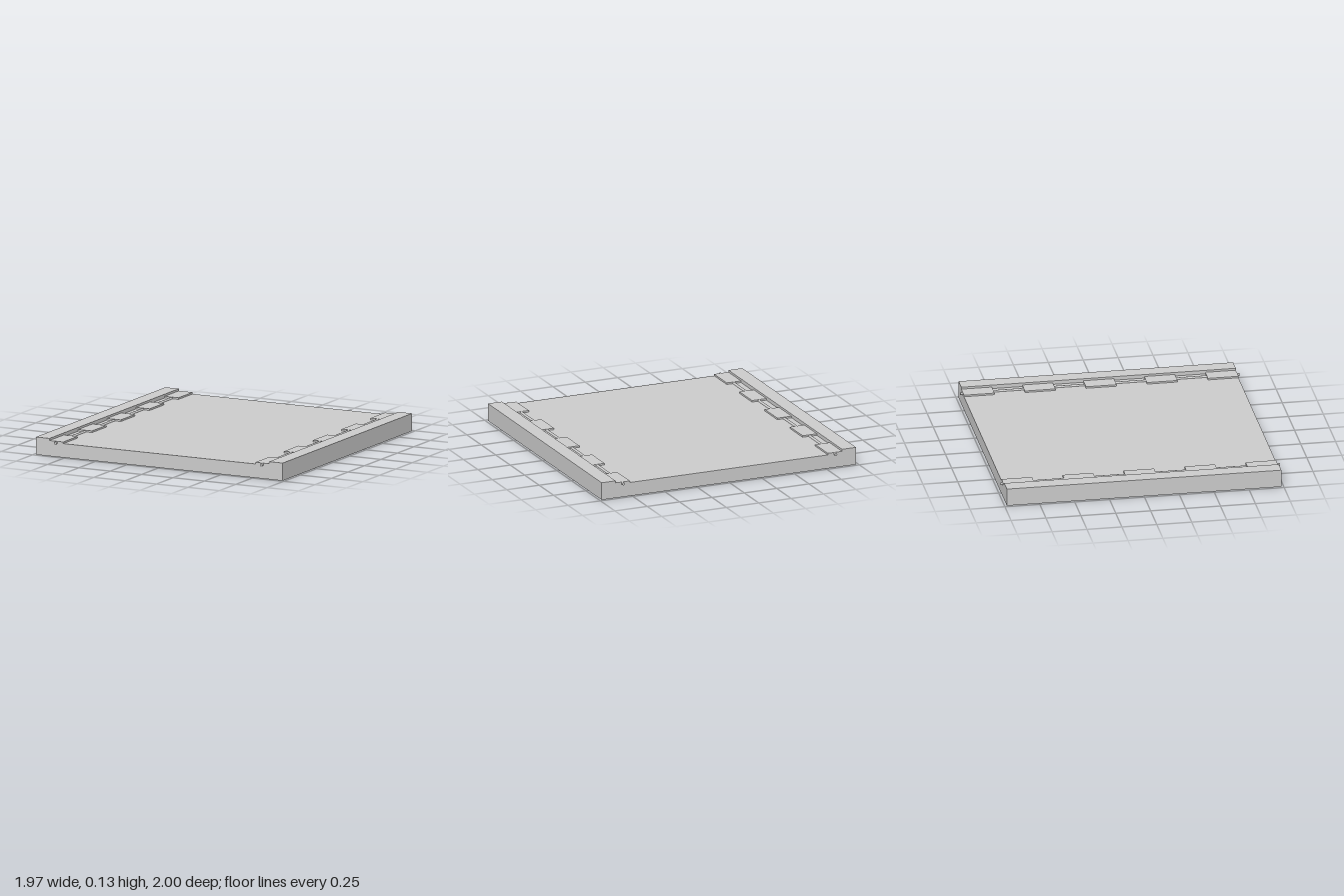
import * as THREE from 'three';

export function createModel() {
  const group = new THREE.Group();
  const material = new THREE.MeshStandardMaterial({ color: 0xcccccc, flatShading: true });
  const half = 0.983, floor = 0.1, rim = 0.127, rimInner = 0.875;
  const blockInner = 0.765, blockTop = 0.112, segment = (2 * half) / 9;

  const add = (geometry, name, x = 0, y = 0, z = 0) => {
    const mesh = new THREE.Mesh(geometry, material);
    mesh.name = name;
    mesh.position.set(x, y, z);
    group.add(mesh);
    return mesh;
  };

  // Tray: flat panel with a raised rail along both sides, as one profile
  const profile = new THREE.Shape([
    [-half, 0], [half, 0], [half, rim], [rimInner, rim], [rimInner, floor],
    [-rimInner, floor], [-rimInner, rim], [-half, rim],
  ].map(([x, y]) => new THREE.Vector2(x, y)));
  const tray = new THREE.ExtrudeGeometry(profile, { depth: 2 * half, bevelEnabled: false });
  add(tray.translate(0, 0, -half), 'panel');

  // Hinge knuckles alternate with gaps that expose the pin
  const blockWidth = rimInner - blockInner, blockHeight = blockTop - floor;
  const knuckle = new THREE.BoxGeometry(blockWidth, blockHeight, segment);
  const pin = new THREE.CylinderGeometry(0.01, 0.01, 2, 16).rotateX(Math.PI / 2);
  for (const [side, label] of [[1, 'left'], [-1, 'right']]) {
    for (let i = -2; i <= 2; i++) {
      add(knuckle, `${label}HingeKnuckle${i + 3}`,
        side * (rimInner + blockInner) / 2, floor + blockHeight / 2, i * 2 * segment);
    }
    add(pin, `${label}HingePin`, side * 0.82, 0.101, 0);
  }
  return group;
}
